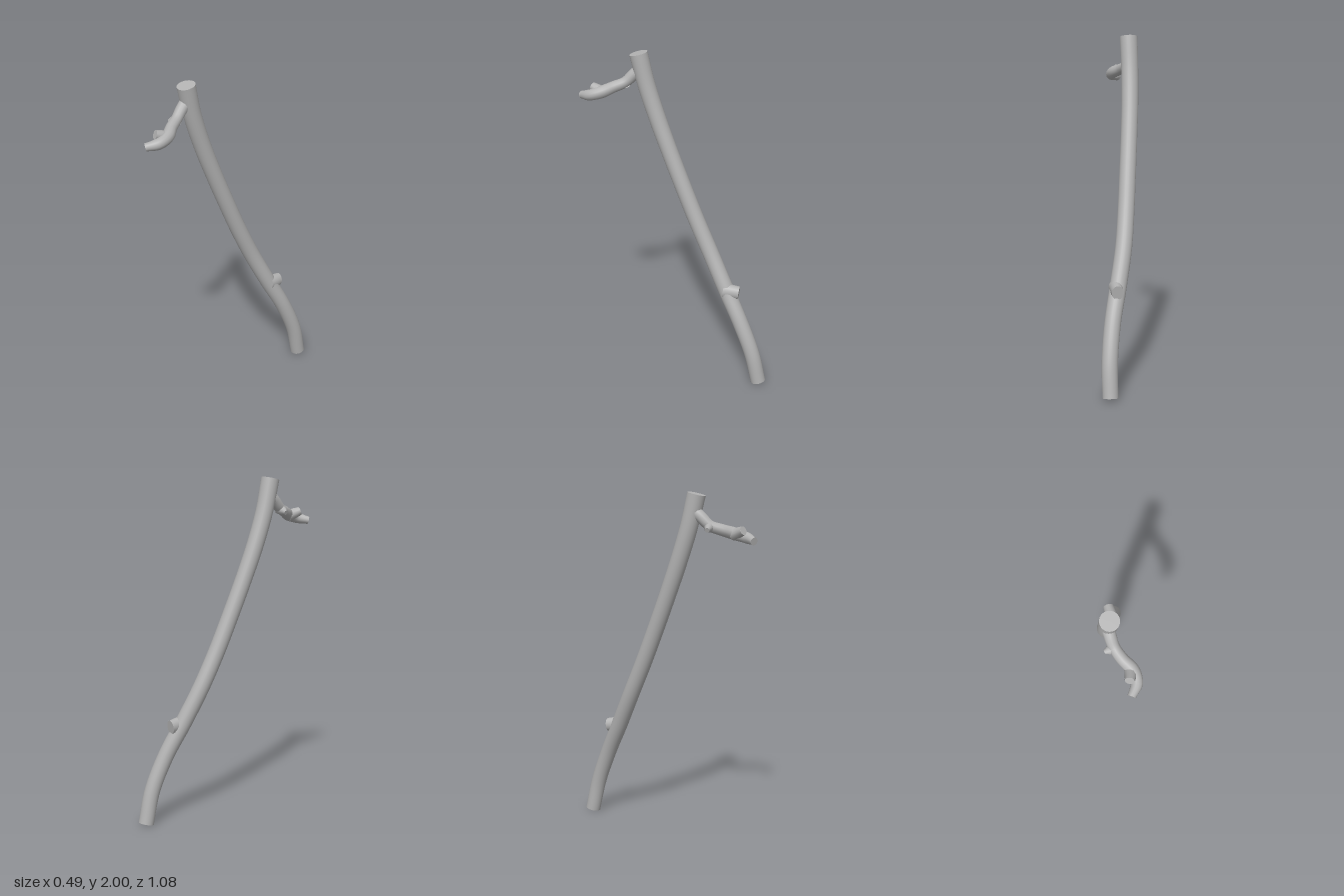
import * as THREE from 'three';

const wood = new THREE.MeshStandardMaterial({ color: 0xb2b2b2 });
wood.name = 'plain grey';

// Tapered limb swept along points [x, y, z, radius], with flat cut ends
function limb(name, pts, steps, sides) {
  const group = new THREE.Group();
  group.name = name;
  const curve = new THREE.CatmullRomCurve3(pts.map(p => new THREE.Vector3(p[0], p[1], p[2])));
  const radii = new THREE.CatmullRomCurve3(pts.map(p => new THREE.Vector3(p[0], p[1], p[2])));
  // radius interpolated by distance along the limb
  const dist = [0];
  for (let i = 1; i < pts.length; i++) {
    dist.push(dist[i - 1] + radii.points[i].distanceTo(radii.points[i - 1]));
  }
  const radiusAt = u => {
    const d = u * dist[dist.length - 1];
    let i = 1;
    while (i < pts.length - 1 && dist[i] < d) i++;
    const t = (d - dist[i - 1]) / (dist[i] - dist[i - 1]);
    return THREE.MathUtils.lerp(pts[i - 1][3], pts[i][3], THREE.MathUtils.smoothstep(t, 0, 1));
  };

  // unit tube whose rings are shrunk to the local radius
  const tube = new THREE.TubeGeometry(curve, steps, 1, sides, false);
  const pos = tube.attributes.position;
  const nor = tube.attributes.normal;
  const p = new THREE.Vector3();
  const n = new THREE.Vector3();
  for (let i = 0; i < pos.count; i++) {
    const r = radiusAt(Math.floor(i / (sides + 1)) / steps);
    p.fromBufferAttribute(pos, i);
    n.fromBufferAttribute(nor, i);
    p.addScaledVector(n, r - 1);
    pos.setXYZ(i, p.x, p.y, p.z);
  }
  const bark = new THREE.Mesh(tube, wood);
  bark.name = name + 'Bark';
  group.add(bark);

  // cut faces
  for (const u of [0, 1]) {
    const cap = new THREE.Mesh(new THREE.CircleGeometry(radiusAt(u), sides), wood);
    cap.name = name + (u ? 'EndCut' : 'StartCut');
    cap.position.copy(curve.getPointAt(u));
    const dir = curve.getTangentAt(u).multiplyScalar(u ? 1 : -1);
    cap.quaternion.setFromUnitVectors(new THREE.Vector3(0, 0, 1), dir);
    group.add(cap);
  }
  return group;
}

export function createModel() {
  const model = new THREE.Group();
  model.name = 'stick';

  // Long bent stem, bottom to top
  model.add(limb('stem', [
    [0.2, 0.013, -0.497, 0.045],
    [0.188, 0.2, -0.455, 0.046],
    [0.145, 0.4, -0.383, 0.047],
    [0.077, 0.6, -0.297, 0.049],
    [0.013, 0.8, -0.214, 0.049],
    [-0.034, 1.0, -0.131, 0.049],
    [-0.073, 1.2, -0.054, 0.049],
    [-0.11, 1.4, 0.02, 0.049],
    [-0.143, 1.6, 0.09, 0.05],
    [-0.166, 1.8, 0.152, 0.051],
    [-0.176, 1.99, 0.197, 0.053],
  ], 60, 24));

  // Sawn-off stub on the back
  const stub = limb('stub', [
    [0.085, 0.59, -0.29, 0.05],
    [0.1, 0.585, -0.335, 0.044],
    [0.11, 0.58, -0.376, 0.041],
  ], 8, 16);
  stub.scale.x = 0.82;
  stub.position.x = 0.11 * 0.18;
  model.add(stub);

  // Crooked side branch near the top
  model.add(limb('branch', [
    [-0.178, 1.9, 0.175, 0.04],
    [-0.188, 1.865, 0.22, 0.034],
    [-0.192, 1.815, 0.275, 0.031],
    [-0.182, 1.792, 0.34, 0.033],
    [-0.16, 1.77, 0.41, 0.036],
    [-0.17, 1.75, 0.475, 0.032],
    [-0.228, 1.733, 0.524, 0.023],
  ], 30, 14));

  // Short twig rising from the bend of the branch
  model.add(limb('twig', [
    [-0.165, 1.765, 0.4, 0.034],
    [-0.185, 1.778, 0.435, 0.031],
    [-0.205, 1.79, 0.462, 0.026],
  ], 6, 12));

  // Small knot beside the branch root
  model.add(limb('knot', [
    [-0.188, 1.815, 0.275, 0.034],
    [-0.215, 1.803, 0.27, 0.026],
    [-0.242, 1.793, 0.265, 0.014],
  ], 6, 12));

  return model;
}
